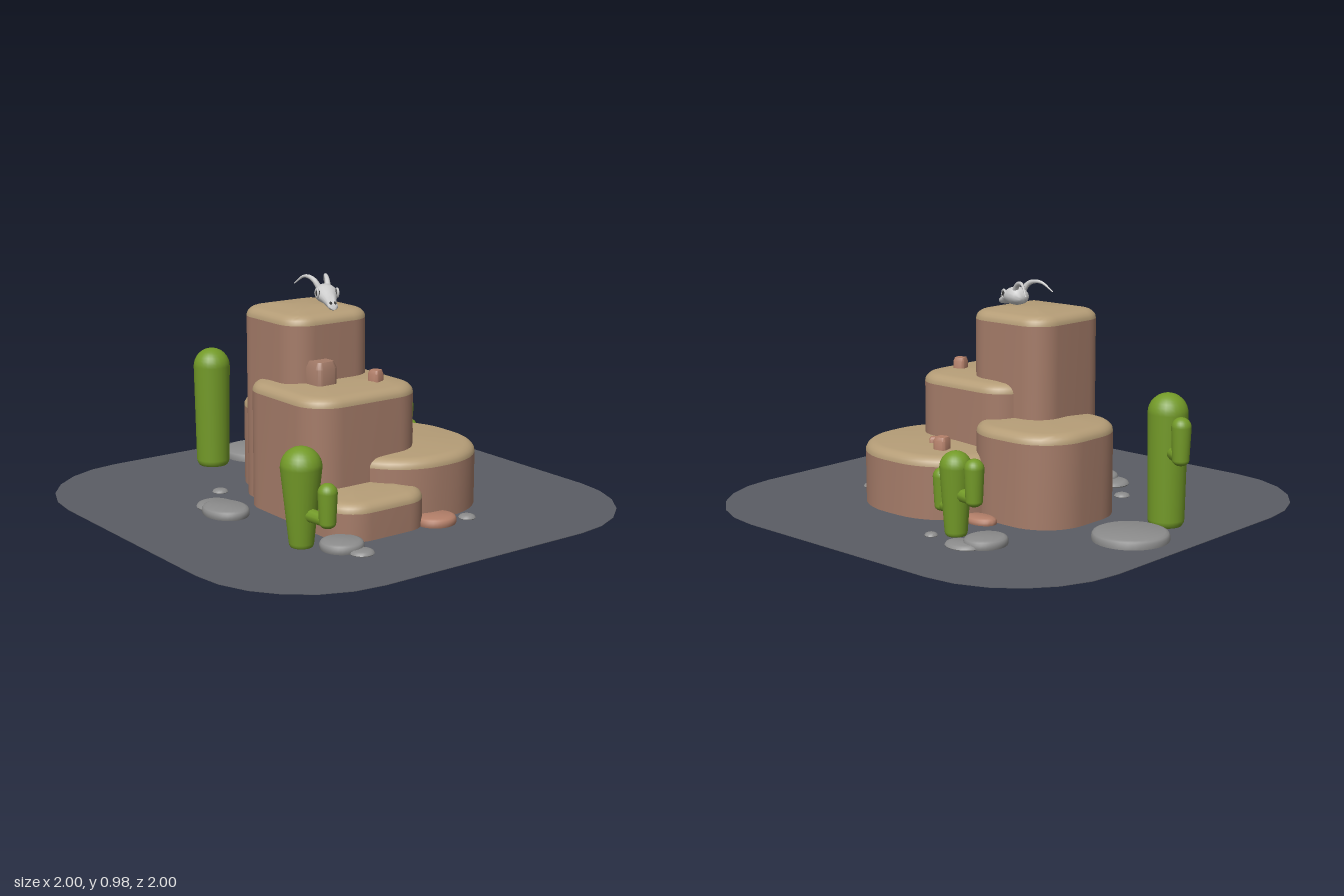
import * as THREE from 'three';
import { toCreasedNormals } from 'three/addons/utils/BufferGeometryUtils.js';

const mat = (color, side = THREE.FrontSide) => new THREE.MeshStandardMaterial({ color, side });
const M = {
  ground: mat(0x5b5d64, THREE.DoubleSide), wall: mat(0xa57c69), top: mat(0xb59d77),
  clay: mat(0xb37f69), stone: mat(0x8c8c8c), cactus: mat(0x739a28),
  bone: mat(0xcccccc), socket: mat(0x3c3c3c),
};

function add(parent, name, geometry, material) {
  const mesh = new THREE.Mesh(geometry, material);
  mesh.name = name;
  parent.add(mesh);
  return mesh;
}

// Closed ring of points around a rounded rectangle at height y
function ring(cx, cz, w, d, r, y, seg = 10) {
  const pts = [];
  r = Math.min(r, w / 2, d / 2);
  for (let q = 0; q < 4; q++) {
    const sx = q === 0 || q === 3 ? 1 : -1, sz = q < 2 ? 1 : -1;
    for (let i = 0; i <= seg; i++) {
      const a = (q + i / seg) * Math.PI / 2;
      pts.push([cx + sx * (w / 2 - r) + r * Math.cos(a), y, cz + sz * (d / 2 - r) + r * Math.sin(a)]);
    }
  }
  return pts;
}

// Ellipse ring
function oval(cx, cz, rx, rz, y, n = 32) {
  return Array.from({ length: n }, (_, i) => {
    const a = i / n * Math.PI * 2;
    return [cx + rx * Math.cos(a), y, cz + rz * Math.sin(a)];
  });
}

// Skin through rings stacked upwards, with optional end caps
function loft(rings, crease = 0.6, capBottom = true, capTop = true) {
  const n = rings[0].length, pos = rings.flat(2), idx = [];
  const centre = (r) => [0, 1, 2].map((k) => r.reduce((s, p) => s + p[k], 0) / n);
  for (let i = 0; i < rings.length - 1; i++) {
    for (let j = 0; j < n; j++) {
      const a = i * n + j, b = i * n + (j + 1) % n;
      idx.push(a, a + n, b, b, a + n, b + n);
    }
  }
  const cap = (i, up) => {
    const c = pos.length / 3;
    pos.push(...centre(rings[i]));
    for (let j = 0; j < n; j++) {
      const a = i * n + j, b = i * n + (j + 1) % n;
      idx.push(c, up ? b : a, up ? a : b);
    }
  };
  if (capBottom) cap(0, false);
  if (capTop) cap(rings.length - 1, true);
  const g = new THREE.BufferGeometry();
  g.setAttribute('position', new THREE.Float32BufferAttribute(pos, 3));
  g.setIndex(idx);
  return toCreasedNormals(g, crease);
}

// Tube whose radius runs from r0 to r1
function taperedTube(points, r0, r1, seg = 16) {
  const curve = new THREE.CatmullRomCurve3(points.map((p) => new THREE.Vector3(...p)));
  const g = new THREE.TubeGeometry(curve, seg, 1, 10);
  const p = g.attributes.position, v = new THREE.Vector3();
  for (let i = 0; i < p.count; i++) {
    const t = Math.floor(i / 11) / seg, c = curve.getPointAt(t);
    v.fromBufferAttribute(p, i).sub(c).multiplyScalar(r0 + (r1 - r0) * t).add(c);
    p.setXYZ(i, v.x, v.y, v.z);
  }
  return g;
}

// Mesa tier: straight wall with a rounded, lighter cap
function tier(parent, name, x0, x1, z0, z1, r, y) {
  const g = new THREE.Group();
  g.name = name;
  const at = (inset, h) => ring((x0 + x1) / 2, (z0 + z1) / 2, x1 - x0 - 2 * inset, z1 - z0 - 2 * inset, r - inset, h);
  add(g, name + 'Wall', loft([at(0, 0.033), at(0, y - 0.05)], 0.6, true, false), M.wall);
  const rim = [];
  for (let i = 0; i <= 6; i++) {
    const a = i / 6 * Math.PI / 2;
    rim.push(at(0.05 * (1 - Math.cos(a)), y - 0.05 + 0.04 * Math.sin(a)));
  }
  rim.push(at(r * 0.85, y));
  add(g, name + 'Cap', loft(rim, 0.9, false, true), M.top);
  parent.add(g);
}

// Flat stone with a softened rim
function slab(parent, name, x, z, rx, rz, y0, y1, material) {
  const e = Math.min(0.014, (y1 - y0) / 2);
  add(parent, name, loft([
    oval(x, z, rx - e / 2, rz - e / 2, y0), oval(x, z, rx, rz, y0 + e),
    oval(x, z, rx, rz, y1 - e), oval(x, z, rx - e * 0.4, rz - e * 0.4, y1 - e * 0.35),
    oval(x, z, rx - e * 1.3, rz - e * 1.3, y1),
  ], 0.9), material);
}

// Upright round-ended cactus limb, narrower at the foot
function limb(parent, name, x, z, y0, y1, rFoot, rTop) {
  const pts = [];
  for (let i = 0; i <= 6; i++) {
    const a = -Math.PI / 2 + i / 6 * Math.PI / 2;
    pts.push(new THREE.Vector2(Math.max(0, rFoot * Math.cos(a)), y0 + rFoot * 0.7 * (1 + Math.sin(a))));
  }
  for (let i = 0; i <= 8; i++) {
    const a = i / 8 * Math.PI / 2;
    pts.push(new THREE.Vector2(Math.max(0, rTop * Math.cos(a)), y1 - rTop + rTop * Math.sin(a)));
  }
  add(parent, name, new THREE.LatheGeometry(pts, 24), M.cactus).position.set(x, 0, z);
}

function cactus(parent, name, x, z, y0, y1, rFoot, rTop, arms) {
  const g = new THREE.Group();
  g.name = name;
  limb(g, 'trunk', x, z, y0, y1, rFoot, rTop);
  for (const [ax, az, a0, a1, r] of arms) {
    limb(g, 'arm', ax, az, a0, a1, r * 0.85, r);
    add(g, 'armJoint', taperedTube([[x, a0 + 0.03, z], [ax, a0 + 0.028, az]], 0.03, 0.024, 4), M.cactus);
  }
  parent.add(g);
}

// Angular chunk of rock
function chunk(parent, name, x, y, z, w, h, turn, material) {
  const m = add(parent, name, loft([
    ring(0, 0, w, w, w * 0.22, 0, 3), ring(0, 0, w, w, w * 0.22, h * 0.75, 3),
    ring(0, 0, w * 0.78, w * 0.78, w * 0.15, h, 3),
  ]), material);
  m.position.set(x, y, z);
  m.rotation.y = turn;
}

function skull(parent) {
  const g = new THREE.Group();
  g.name = 'skull';
  const head = new THREE.Group();
  head.name = 'head';
  head.position.set(-0.02, 0.86, 0);
  head.rotation.y = -0.4;
  // Sections from nape to muzzle: z, half width, bottom, top
  const sections = [[-0.105, 0.018, 0.035, 0.06], [-0.09, 0.036, 0.02, 0.08], [-0.055, 0.046, 0.012, 0.09],
    [-0.02, 0.05, 0.012, 0.085], [0.015, 0.033, 0.01, 0.065], [0.06, 0.023, 0.003, 0.044],
    [0.09, 0.021, 0, 0.03], [0.103, 0.012, 0.004, 0.02]];
  const geo = loft(sections.map(([z, w, b, t]) => oval(0, -(b + t) / 2, w, (t - b) / 2, z, 16)), 1);
  add(head, 'cranium', geo.rotateX(Math.PI / 2), M.bone);
  for (const s of [-1, 1]) {
    const eye = add(head, 'eyeSocket', new THREE.SphereGeometry(0.016, 14, 10), M.socket);
    eye.position.set(s * 0.04, 0.056, -0.012);
    eye.scale.set(0.6, 0.9, 1.1);
    const brow = add(head, 'brow', new THREE.TorusGeometry(0.017, 0.005, 8, 16), M.bone);
    brow.position.set(s * 0.043, 0.056, -0.012);
    brow.rotation.y = Math.PI / 2;
    const nose = add(head, 'nostril', new THREE.SphereGeometry(0.008, 10, 8), M.socket);
    nose.position.set(s * 0.009, 0.03, 0.086);
    nose.scale.set(0.7, 0.7, 1.6);
  }
  g.add(head);
  add(g, 'hornRight', taperedTube([[-0.02, 0.925, -0.055], [-0.033, 0.965, -0.085], [-0.038, 0.972, -0.145], [-0.05, 0.935, -0.2]], 0.014, 0.002), M.bone);
  add(g, 'hornLeft', taperedTube([[0.015, 0.925, -0.045], [0.03, 0.962, -0.075], [0.058, 0.97, -0.125], [0.09, 0.925, -0.175]], 0.014, 0.002), M.bone);
  parent.add(g);
}

export function createModel() {
  const model = new THREE.Group();
  model.name = 'desertRock';

  // Ground sheet
  add(model, 'ground', loft([ring(0, 0, 2, 2, 0.5, 0.029, 6), ring(0, 0, 2, 2, 0.5, 0.031, 6)]), M.ground);

  // Mesa
  tier(model, 'topTier', -0.28, 0.14, -0.3, 0.12, 0.11, 0.865);
  tier(model, 'middleTier', -0.355, 0.213, -0.17, 0.37, 0.14, 0.578);
  tier(model, 'backTier', -0.2, 0.32, -0.51, 0.0, 0.2, 0.43);
  tier(model, 'rightTier', -0.12, 0.51, -0.14, 0.52, 0.29, 0.305);
  tier(model, 'frontTier', -0.362, 0.09, 0.12, 0.578, 0.13, 0.197);

  // Loose chunks on the ledges
  chunk(model, 'ledgeBlock', -0.16, 0.56, 0.14, 0.105, 0.112, 0.05, M.wall);
  chunk(model, 'ledgePebble', 0.05, 0.565, 0.235, 0.052, 0.058, 0.3, M.clay);
  chunk(model, 'ledgePebble', 0.34, 0.29, 0.063, 0.058, 0.06, 0.2, M.clay);
  chunk(model, 'ledgePebble', 0.29, 0.29, 0.162, 0.036, 0.034, 0.7, M.clay);

  // Flat stones: x, z, radius x, radius z, bottom, top
  for (const s of [[0.125, -0.76, 0.155, 0.155, 0.005, 0.065], [0.56, -0.39, 0.093, 0.083, 0.02, 0.065],
    [0.635, -0.34, 0.063, 0.08, 0.02, 0.048], [0.62, -0.15, 0.027, 0.027, 0.022, 0.045],
    [-0.48, -0.17, 0.082, 0.085, 0.022, 0.05], [-0.5, -0.065, 0.092, 0.113, 0.022, 0.066],
    [-0.35, -0.34, 0.034, 0.034, 0.022, 0.045], [-0.38, 0.575, 0.088, 0.088, 0.022, 0.066],
    [-0.355, 0.67, 0.05, 0.05, 0.022, 0.046], [0.265, 0.575, 0.036, 0.036, 0.022, 0.046]]) {
    slab(model, 'flatStone', ...s, M.stone);
  }
  slab(model, 'clayStone', 0.12, 0.55, 0.086, 0.078, 0.022, 0.066, M.clay);
  slab(model, 'clayStone', 0.35, -0.165, 0.052, 0.075, 0.02, 0.058, M.clay);

  // Cacti, arms as x, z, bottom, top, radius
  cactus(model, 'backCactus', -0.13, -0.74, 0.005, 0.575, 0.075, 0.082, [[-0.037, -0.875, 0.315, 0.51, 0.04]]);
  cactus(model, 'frontCactus', -0.49, 0.46, 0.012, 0.433, 0.05, 0.083, [[-0.478, 0.615, 0.14, 0.32, 0.039]]);
  cactus(model, 'sideCactus', 0.545, -0.215, 0.015, 0.373, 0.046, 0.065,
    [[0.575, -0.343, 0.175, 0.367, 0.04], [0.505, -0.1, 0.1, 0.28, 0.038]]);

  skull(model);
  // Lowest points touch y = 0
  const low = new THREE.Box3().setFromObject(model).min.y;
  for (const part of model.children) part.position.y -= low;
  return model;
}
